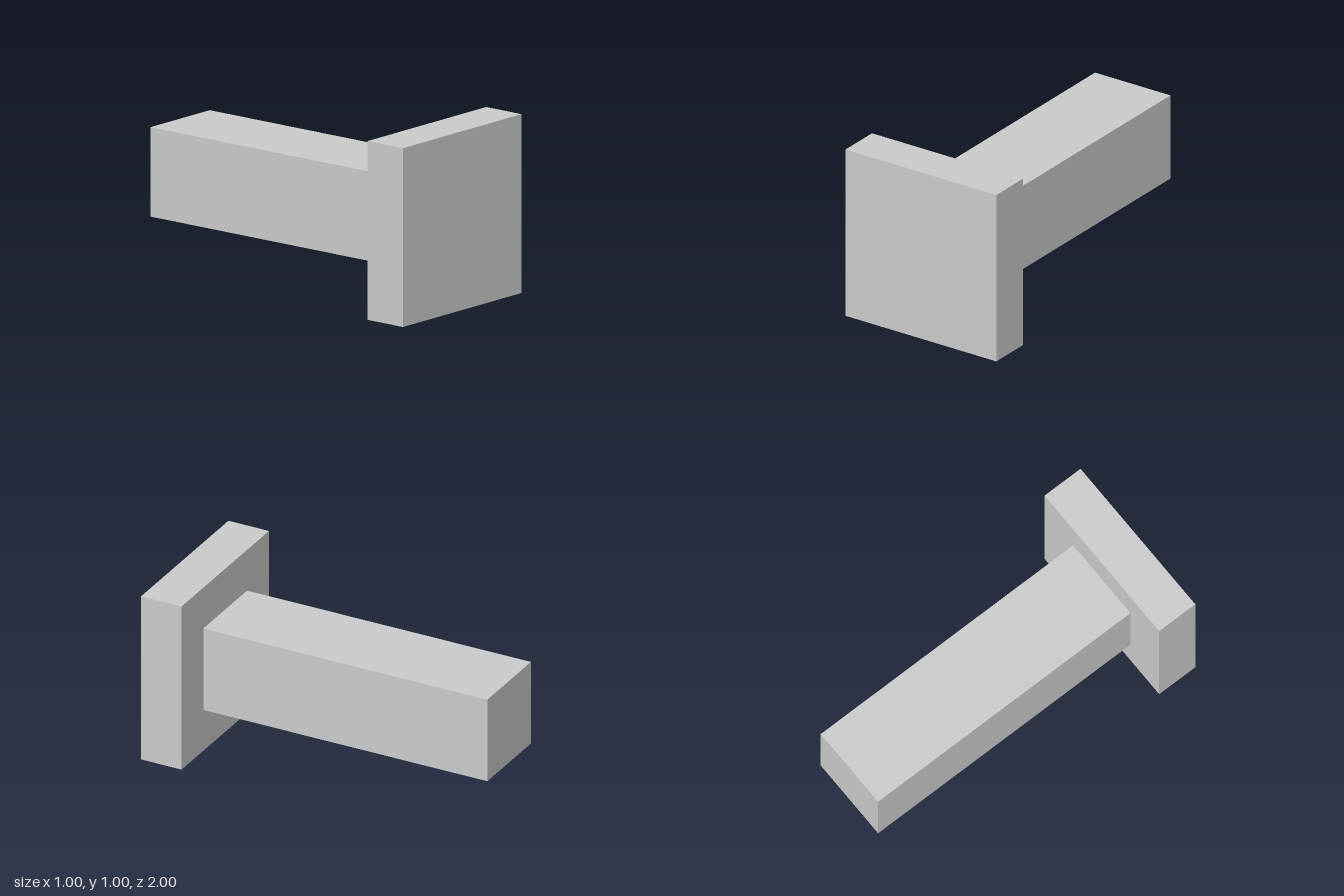
import * as THREE from 'three';

export function createModel() {
  const model = new THREE.Group();
  const material = new THREE.MeshStandardMaterial({ color: 0xcccccc, flatShading: true });

  const addBox = (name, width, height, zFront, zBack) => {
    const mesh = new THREE.Mesh(new THREE.BoxGeometry(width, height, zFront - zBack), material);
    mesh.name = name;
    mesh.position.set(0, 0.5, (zFront + zBack) / 2);
    model.add(mesh);
  };

  // Square plate at the front
  addBox('headPlate', 1, 1, 1, 0.75);
  // Square bar running back from the plate's centre
  addBox('shaft', 0.5, 0.5, 0.75, -1);

  return model;
}
